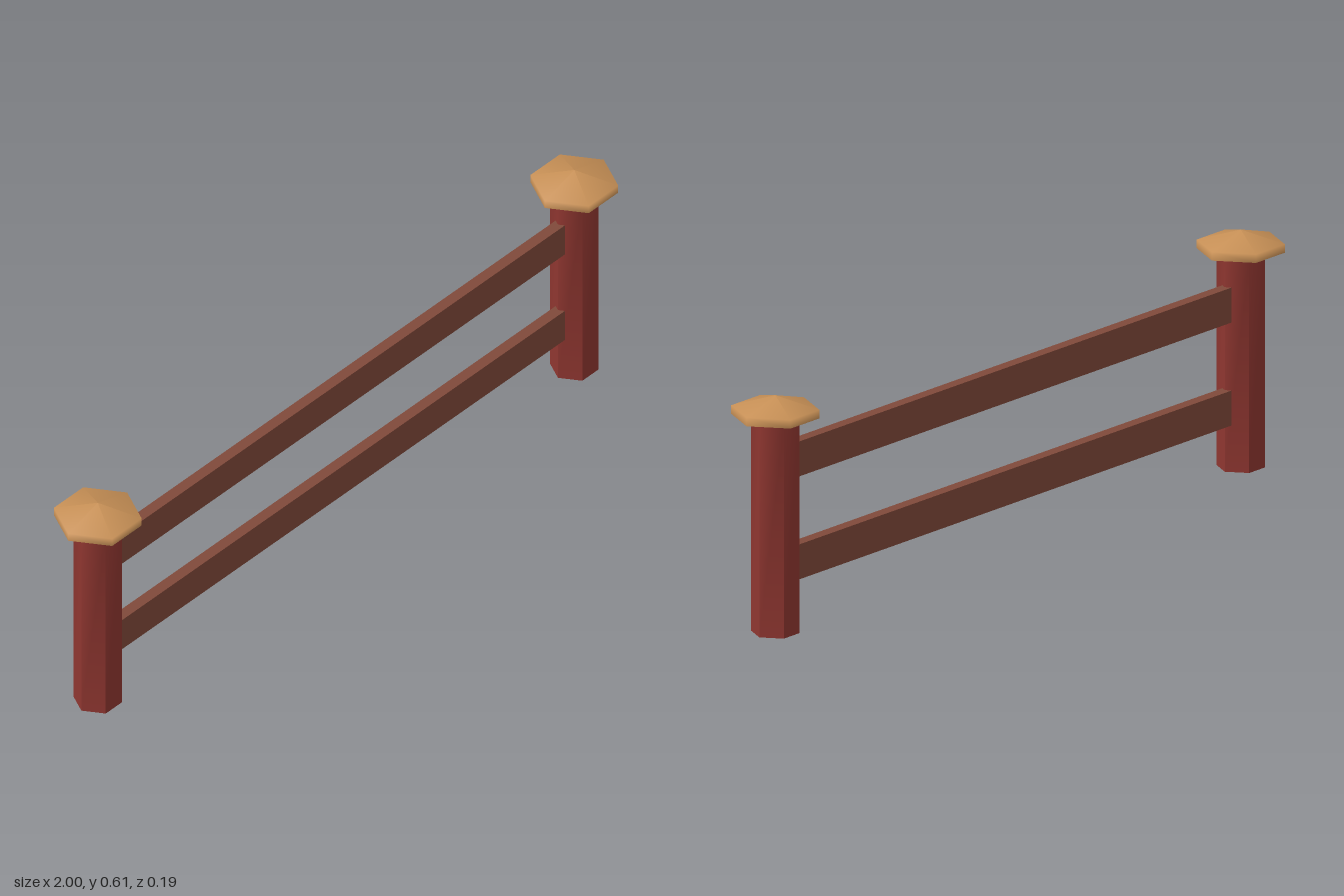
import * as THREE from 'three';

const mat = (name, color, side = THREE.FrontSide) => {
  const m = new THREE.MeshStandardMaterial({ color, side });
  m.name = name;
  return m;
};

// Hexagonal post: crisp facets at the foot that soften towards the top
function postGeometry(radius, height) {
  const g = new THREE.CylinderGeometry(radius, radius, height, 6).toNonIndexed();
  g.rotateY(Math.PI / 6);
  g.translate(0, height / 2, 0);
  g.computeVertexNormals();
  const p = g.attributes.position, n = g.attributes.normal;
  for (let i = 0; i < p.count; i++) {
    if (Math.abs(n.getY(i)) < 0.5 && p.getY(i) > height / 2) {
      n.setXYZ(i, p.getX(i) / radius, 0, p.getZ(i) / radius);
    }
  }
  return g;
}

// Six-sided turned profile, with corners pointing along x
function hexLathe(points) {
  const g = new THREE.LatheGeometry(points.map(([r, y]) => new THREE.Vector2(r, y)), 6);
  return g.rotateY(Math.PI / 6);
}

export function createModel() {
  const red = mat('red post wood', 0x8f3630);
  const brown = mat('brown rail wood', 0x80493a);
  const tan = mat('tan cap wood', 0xc68f55, THREE.DoubleSide);

  const fence = new THREE.Group();
  fence.name = 'fence';
  const add = (parent, name, geometry, material) => {
    const mesh = new THREE.Mesh(geometry, material);
    mesh.name = name;
    parent.add(mesh);
    return mesh;
  };

  // Posts with pointed caps
  const postGeo = postGeometry(0.061, 0.55);
  const capTop = hexLathe([[0.11, 0.555], [0.11, 0.577], [0, 0.609]]);
  const capUnder = hexLathe([[0, 0.545], [0.062, 0.545], [0.11, 0.555]]);
  for (const [side, x] of [['left', 0.89], ['right', -0.89]]) {
    const post = new THREE.Group();
    post.name = side + 'Post';
    post.position.x = x;
    add(post, 'shaft', postGeo, red);
    add(post, 'capTop', capTop, tan);
    add(post, 'capUnderside', capUnder, tan);
    fence.add(post);
  }

  // Horizontal rails
  const railGeo = new THREE.BoxGeometry(1.69, 0.09, 0.03);
  for (const [name, y] of [['lowerRail', 0.165], ['upperRail', 0.43]]) {
    add(fence, name, railGeo, brown).position.y = y;
  }
  return fence;
}
